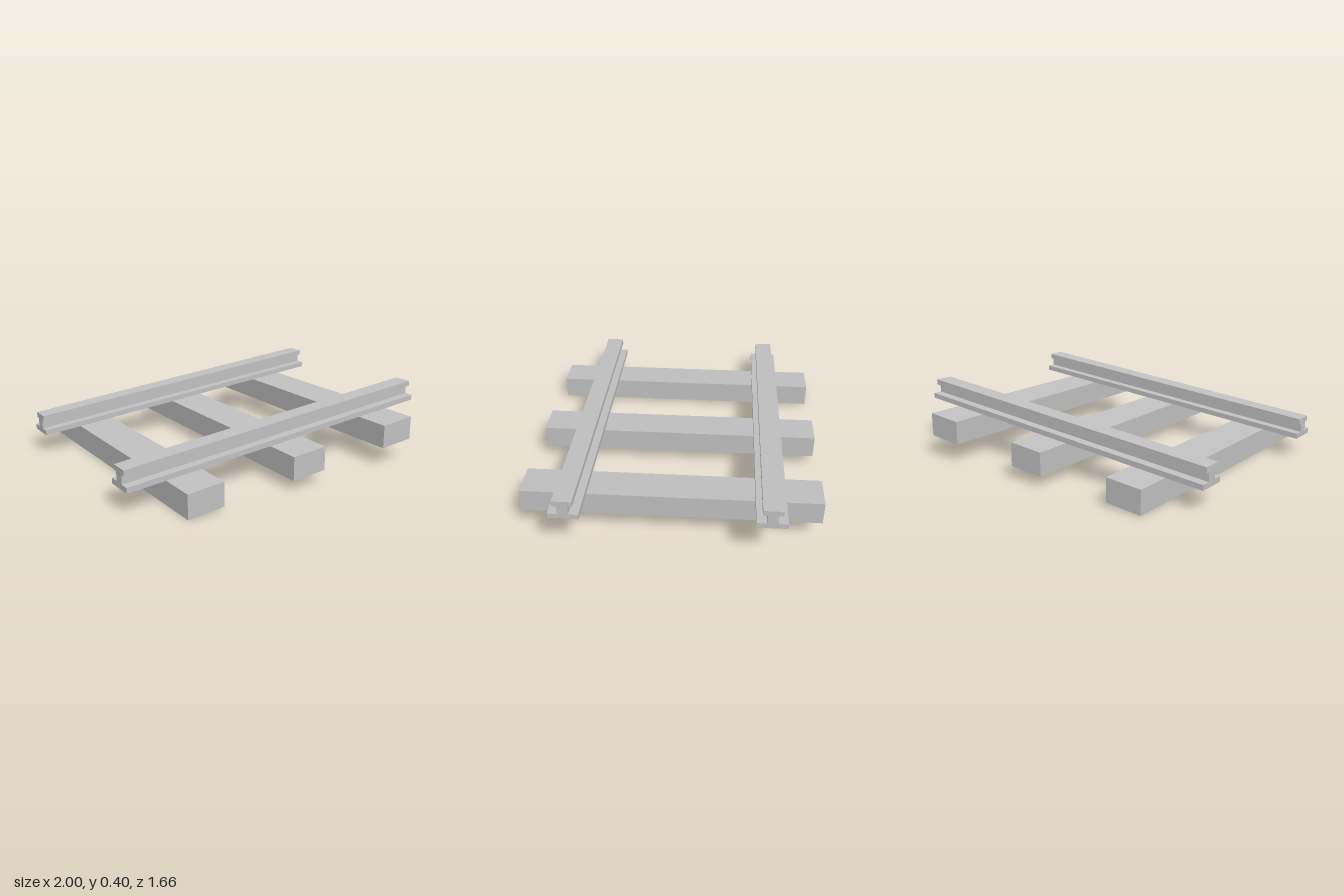
import * as THREE from 'three';

const SLOPE = 0.083;

// Vertical shear: the track climbs towards +x while all ends stay upright
function incline(geometry) {
  const shear = new THREE.Matrix4().set(
    1, 0, 0, 0,
    SLOPE, 1, 0, 0,
    0, 0, 1, 0,
    0, 0, 0, 1
  );
  return geometry.applyMatrix4(shear);
}

// I-shaped rail section: wide foot, thin web, narrower head
function railGeometry() {
  const foot = 0.082, web = 0.029, head = 0.0535;
  const y0 = 0.203, y1 = 0.234, y2 = 0.286, y3 = 0.318;
  const half = [[foot, y0], [foot, y1], [web, y1], [web, y2], [head, y2], [head, y3]];
  const mirrored = half.map(([z, y]) => [-z, y]).reverse();
  const shape = new THREE.Shape([...half, ...mirrored].map(([z, y]) => new THREE.Vector2(z, y)));
  const geometry = new THREE.ExtrudeGeometry(shape, { depth: 2, bevelEnabled: false });
  return geometry.translate(0, 0, -1).rotateY(Math.PI / 2);
}

export function createModel() {
  const track = new THREE.Group();
  track.name = 'inclinedTrack';
  const grey = new THREE.MeshStandardMaterial({ color: 0xc0c0c0 });
  grey.name = 'light grey';

  const add = (name, geometry) => {
    const mesh = new THREE.Mesh(incline(geometry), grey);
    mesh.name = name;
    track.add(mesh);
  };

  // Two rails
  add('frontRail', railGeometry().translate(0, 0, 0.5405));
  add('backRail', railGeometry().translate(0, 0, -0.5405));

  // Three cross ties under the rails
  const bottom = 0.0645, top = 0.202;
  [['rightTie', -0.666], ['middleTie', 0], ['leftTie', 0.666]].forEach(([name, x]) => {
    const tie = new THREE.BoxGeometry(0.217, top - bottom, 1.664);
    add(name, tie.translate(x, (top + bottom) / 2, 0));
  });

  return track;
}
